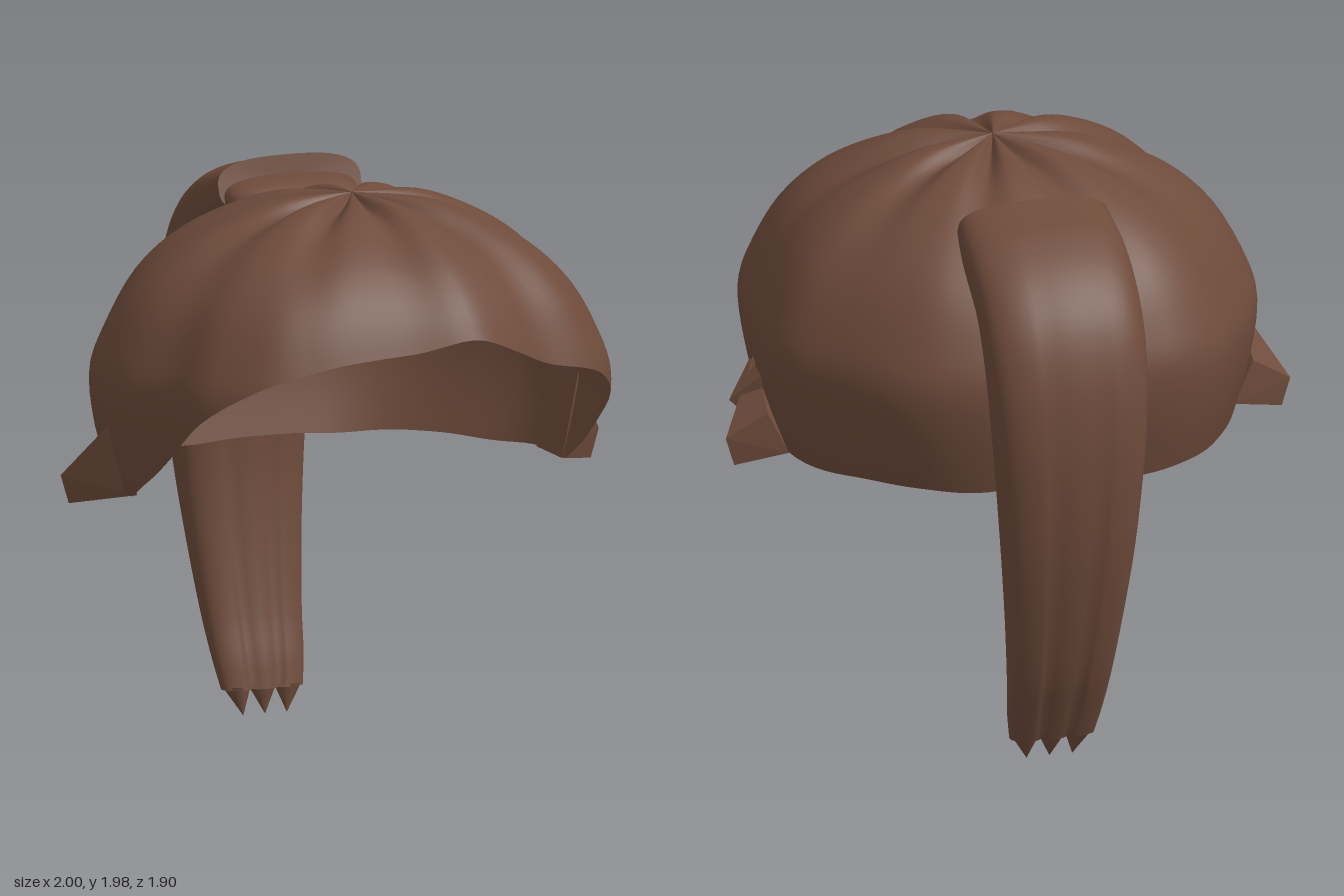
import * as THREE from 'three';
import { ConvexGeometry } from 'three/addons/geometries/ConvexGeometry.js';

const hair = new THREE.MeshStandardMaterial({ color: 0x6e4b3b, side: THREE.DoubleSide });
hair.name = 'brown hair';

const V = (x, y, z) => new THREE.Vector3(x, y, z);

// Skins a list of closed loops that all have the same number of points
function loft(rows) {
  const n = rows[0].length;
  const index = [];
  for (let j = 0; j < rows.length - 1; j++) {
    for (let i = 0; i < n; i++) {
      const a = j * n + i, b = j * n + (i + 1) % n;
      index.push(a, a + n, b, b, a + n, b + n);
    }
  }
  const g = new THREE.BufferGeometry().setFromPoints(rows.flat());
  g.setIndex(index);
  g.computeVertexNormals();
  return g;
}

function add(group, name, geometry) {
  const m = new THREE.Mesh(geometry, hair);
  m.name = name;
  group.add(m);
  return m;
}

// Linear lookup in a list of [input, output] pairs
function lookup(table, v) {
  if (v <= table[0][0]) return table[0][1];
  for (let i = 1; i < table.length; i++) {
    const [a, p] = table[i - 1], [b, q] = table[i];
    if (v <= b) return p + (q - p) * (v - a) / (b - a);
  }
  return table[table.length - 1][1];
}

// Cap: meridians fall from the crown to a rim that rises at the forehead
function capGeometry() {
  const outline = new THREE.CatmullRomCurve3([
    [0.15, 0.95], [-0.1, 0.92], [-0.4, 0.89], [-0.6, 0.83], [-0.75, 0.68], [-0.8, 0.5],
    [-0.88, 0.3], [-0.89, 0.1], [-0.85, -0.05], [-0.75, -0.25], [-0.62, -0.44],
    [-0.45, -0.55], [-0.25, -0.58], [0, -0.585], [0.3, -0.57], [0.5, -0.49], [0.7, -0.3],
    [0.84, -0.1], [0.87, 0.1], [0.85, 0.3], [0.82, 0.5], [0.78, 0.66], [0.68, 0.78],
    [0.45, 0.85], [0.3, 0.91],
  ].map(([x, z]) => V(x, 0, z)), true).getSpacedPoints(120).slice(0, 120);
  const profile = new THREE.SplineCurve([
    [0, 1.97], [0.28, 1.955], [0.5, 1.89], [0.7, 1.79], [0.85, 1.66], [0.95, 1.5],
    [1, 1.36], [0.98, 1.18], [0.92, 0.98],
  ].map(p => new THREE.Vector2(...p)));
  const rim = [[0.25, 0.98], [0.4, 1.08], [0.6, 1.24], [0.8, 1.41], [0.9, 1.51], [0.95, 1.575]];
  const N = 30, crownZ = 0.24;
  const rows = Array.from({ length: N + 1 }, () => []);
  for (const p of outline) {
    const rimY = lookup(rim, p.z);
    let lo = 0, hi = 1;
    for (let k = 0; k < 20; k++) {
      const mid = (lo + hi) / 2;
      if (profile.getPoint(mid).y > rimY) lo = mid; else hi = mid;
    }
    const full = lo > 0.75 ? 1 : profile.getPoint(lo).x;
    const angle = Math.atan2(p.x, p.z - crownZ);
    const pleat = Math.abs(Math.cos(angle * 4.5)) ** 4;
    for (let j = 0; j <= N; j++) {
      const q = profile.getPoint(lo * (j / N) ** 1.2);
      const u = q.x / full;
      const dip = 0.45 * u * Math.exp(-4 * u) * pleat;
      rows[j].push(V(p.x * u, q.y - dip, crownZ + (p.z - crownZ) * u));
    }
  }
  return loft(rows);
}

// Rounded section spanning an outer and an inner [z, y] point
function section([oz, oy, iz, iy, half, cx = 0.03, groove = 0], power = 2.8) {
  const pts = [], n = 60;
  const soft = v => Math.sign(v) * Math.abs(v) ** (2 / power);
  for (let i = 0; i < n; i++) {
    const a = i / n * Math.PI * 2;
    const x = soft(Math.cos(a));
    let d = soft(Math.sin(a));
    const cut = Math.exp(-(((Math.abs(x) - 0.3) / 0.08) ** 2));
    d *= 1 - groove * cut;
    pts.push(V(cx + x * half, (oy + iy) / 2 + d * (oy - iy) / 2, (oz + iz) / 2 + d * (oz - iz) / 2));
  }
  return pts;
}

export function createModel() {
  const model = new THREE.Group();
  model.name = 'hairpiece';
  add(model, 'cap', capGeometry());

  // Ponytail: outer z, outer y, inner z, inner y, half width, centre x, groove depth
  const stations = [
    [-0.39, 1.98, -0.33, 1.79, 0.265, 0.03, 0],
    [-0.48, 1.955, -0.42, 1.72, 0.275, 0.03, 0],
    [-0.58, 1.925, -0.51, 1.665, 0.28, 0.03, 0],
    [-0.74, 1.83, -0.59, 1.6, 0.28, 0.03, 0.02],
    [-0.86, 1.69, -0.64, 1.51, 0.28, 0.03, 0.04],
    [-0.93, 1.5, -0.67, 1.4, 0.275, 0.03, 0.06],
    [-0.953, 1.3, -0.69, 1.23, 0.265, 0.03, 0.08],
    [-0.945, 1.1, -0.695, 1.05, 0.25, 0.03, 0.1],
    [-0.91, 0.85, -0.69, 0.83, 0.23, 0.03, 0.12],
    [-0.85, 0.6, -0.66, 0.58, 0.205, 0.03, 0.16],
    [-0.77, 0.35, -0.61, 0.33, 0.18, 0.03, 0.22],
    [-0.70, 0.2, -0.57, 0.19, 0.165, 0.03, 0.28],
    [-0.645, 0.09, -0.55, 0.09, 0.148, 0.03, 0.35],
  ];
  const lengthwise = new THREE.CatmullRomCurve3(stations.map(s => V(s[0], s[1], s[4])));
  const inside = new THREE.CatmullRomCurve3(stations.map(s => V(s[2], s[3], s[6])));
  const tail = [];
  for (let k = 0; k <= 48; k++) {
    const o = lengthwise.getPoint(k / 48), i = inside.getPoint(k / 48);
    tail.push(section([o.x, o.y, i.x, i.y, o.z, 0.03, i.z]));
  }
  add(model, 'ponytail', loft(tail));
  add(model, 'ponytailEnd', loft([
    section([-0.37, 1.885, -0.37, 1.88, 0.01]),
    section([-0.39, 1.98, -0.33, 1.79, 0.265]),
  ]));

  // Gathered root joining the ponytail to the cap
  add(model, 'ponytailRoot', loft([
    section([-0.22, 1.85, -0.22, 1.84, 0.06, 0.08]),
    section([-0.21, 1.87, -0.22, 1.79, 0.14, 0.07]),
    section([-0.28, 1.905, -0.28, 1.76, 0.23]),
    section([-0.36, 1.92, -0.36, 1.76, 0.25]),
    section([-0.46, 1.9, -0.44, 1.74, 0.22]),
  ], 2.2));

  // Three pointed strands at the bottom
  for (const x of [-0.065, 0.03, 0.125]) {
    const cone = new THREE.ConeGeometry(0.05, 0.1, 10);
    cone.rotateX(Math.PI);
    const p = cone.attributes.position;
    for (let i = 0; i < p.count; i++) {
      const low = 0.5 - p.getY(i) / 0.1;
      p.setZ(i, p.getZ(i) * 0.9 + low * 0.028);
      p.setX(i, p.getX(i) - low * (x - 0.03) * 0.15);
    }
    cone.computeVertexNormals();
    add(model, 'strandTip', cone).position.set(x, 0.05, -0.598);
  }

  // Flicked locks in front of the ears
  for (const s of [-1, 1]) {
    add(model, s < 0 ? 'rightLock' : 'leftLock', new ConvexGeometry([
      V(s * 0.79, 0.975, 0.22), V(s * 0.79, 0.975, 0), V(s * 0.87, 1.12, 0.14), V(s * 0.86, 1.12, 0.02),
      V(s * 0.85, 1.27, 0.22), V(s, 1.03, 0.05), V(s * 0.97, 0.93, 0.05),
    ]));
  }
  add(model, 'leftUpperLock', new ConvexGeometry([
    V(0.83, 1.05, 0.24), V(0.83, 1.04, 0.1), V(0.86, 1.24, 0.24), V(0.86, 1.23, 0.1),
    V(0.96, 1.13, 0.15), V(0.91, 1.08, 0.16),
  ]));
  return model;
}
